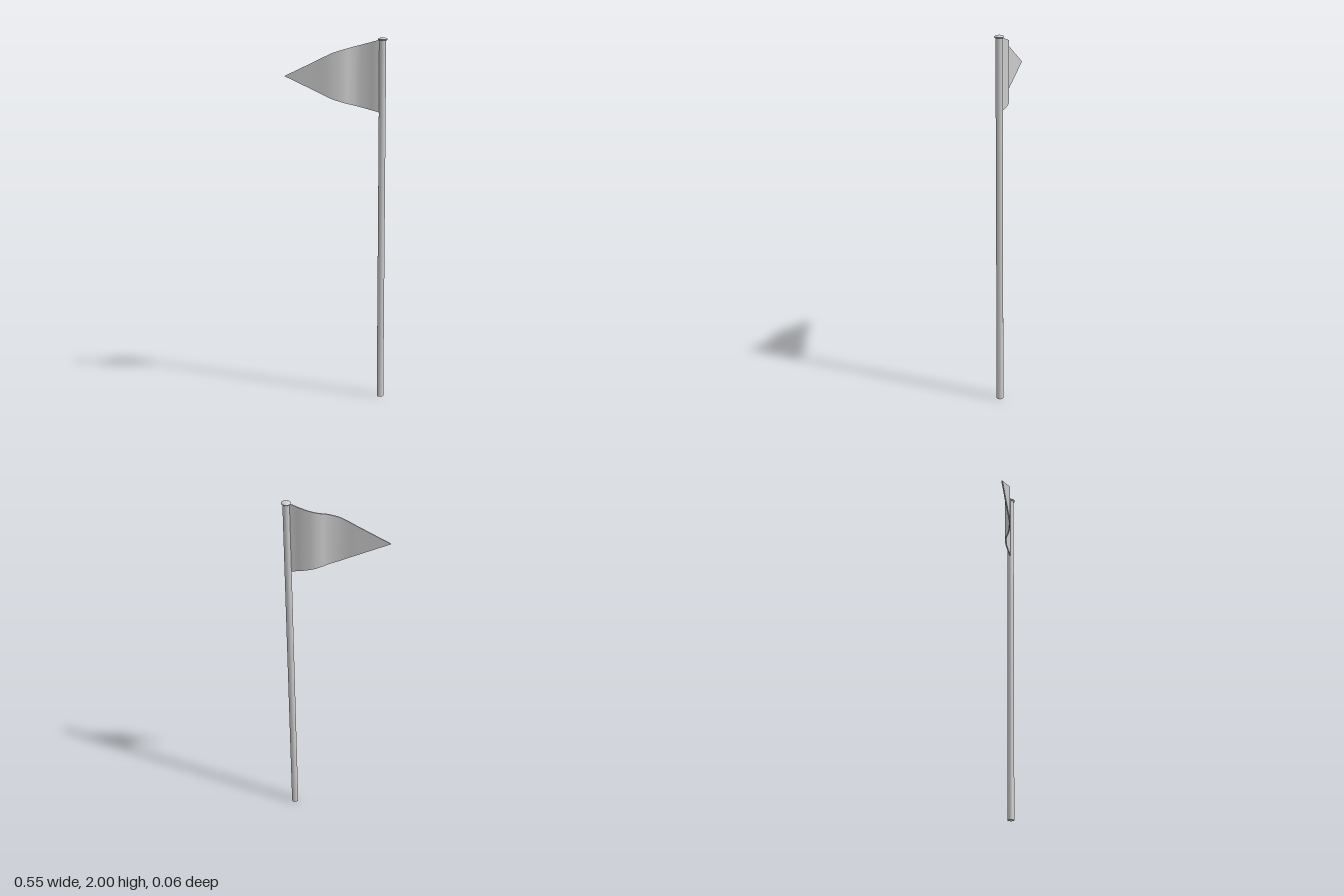
import * as THREE from 'three';

const POLE_X = 0.251, POLE_Z = 0.003;

// Pennant stations: x, half height, z of the ripple
const STATIONS = [
  [-0.278, 0.0005, -0.0275], [-0.19, 0.042, -0.0155], [-0.1, 0.085, -0.003],
  [-0.055, 0.107, 0.004], [-0.02, 0.123, 0.0065], [0.02, 0.136, 0.004],
  [0.05, 0.145, -0.003], [0.08, 0.153, -0.0145], [0.115, 0.162, -0.0215],
  [0.15, 0.171, -0.019], [0.18, 0.179, -0.013], [0.21, 0.187, -0.004],
  [0.245, 0.197, 0.003],
];

// A thin slab, tapered and rippled along the station curve
function pennantGeometry() {
  const curve = new THREE.CatmullRomCurve3(STATIONS.map((s) => new THREE.Vector3(...s)));
  const geo = new THREE.BoxGeometry(1, 2, 0.007, 48, 1, 1);
  const pos = geo.attributes.position;
  const p = new THREE.Vector3();
  for (let i = 0; i < pos.count; i++) {
    curve.getPoint(THREE.MathUtils.clamp(pos.getX(i) + 0.5, 0, 1), p);
    pos.setXYZ(i, p.x, 1.794 + pos.getY(i) * p.y, p.z + pos.getZ(i));
  }
  geo.computeVertexNormals();
  return geo;
}

export function createModel() {
  const group = new THREE.Group();
  const material = new THREE.MeshStandardMaterial({ color: 0xcccccc });
  const add = (name, geometry, x = 0, y = 0, z = 0) => {
    const mesh = new THREE.Mesh(geometry, material);
    mesh.name = name;
    mesh.position.set(x, y, z);
    group.add(mesh);
    return mesh;
  };

  add('pole', new THREE.CylinderGeometry(0.0185, 0.0185, 1.99, 32), POLE_X, 0.995, POLE_Z);

  // Flattened ball on top of the pole
  add('poleCap', new THREE.SphereGeometry(0.0255, 32, 16), POLE_X, 1.99, POLE_Z).scale.y = 0.39;

  add('pennant', pennantGeometry());
  return group;
}
